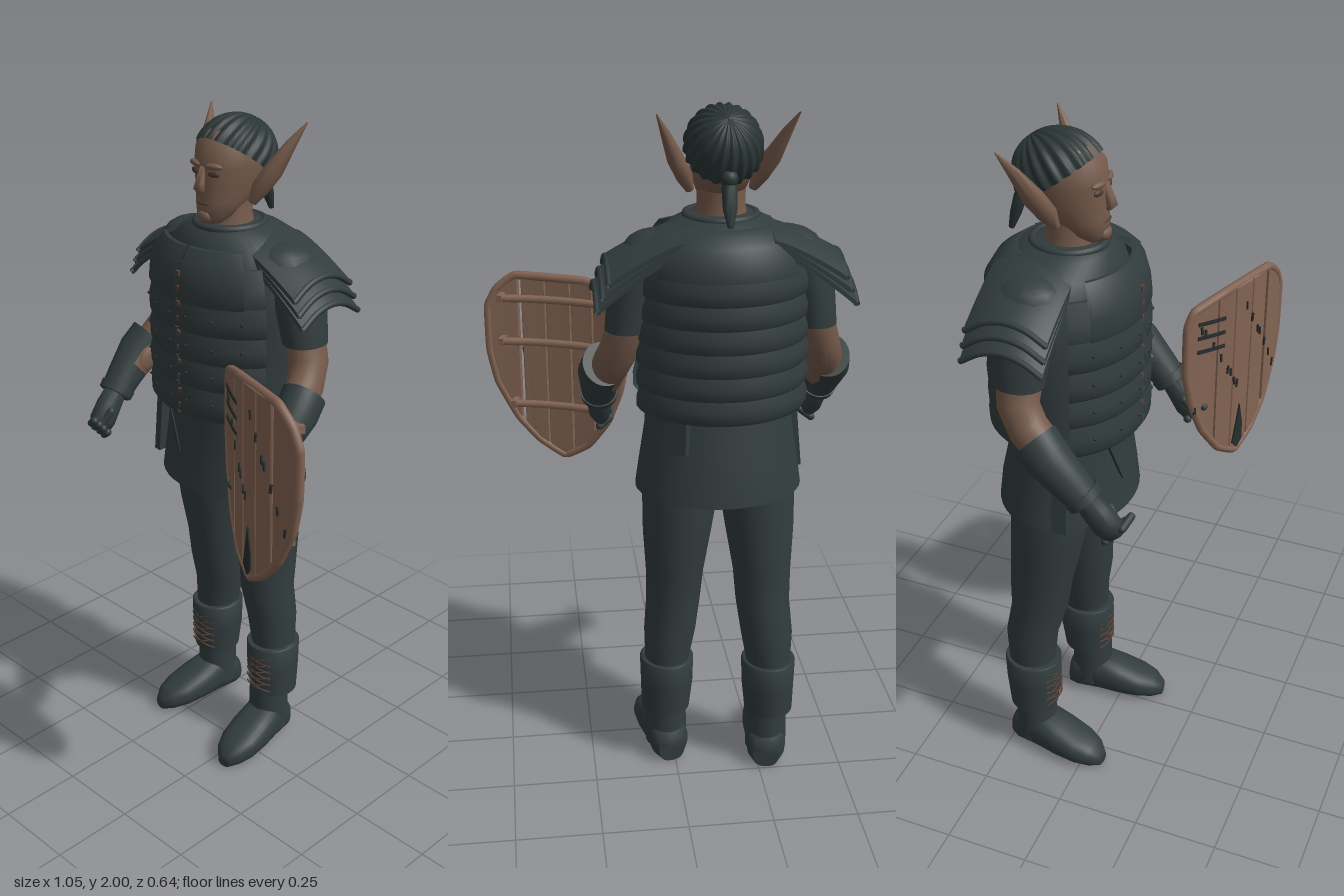
import * as THREE from 'three';
import { toCreasedNormals } from 'three/addons/utils/BufferGeometryUtils.js';

const material = (name, color, side = THREE.FrontSide) => {
  const m = new THREE.MeshStandardMaterial({ color, side });
  m.name = name;
  return m;
};

export function createModel() {
  const root = new THREE.Group();
  root.name = 'warrior';
  const body = new THREE.Group();
  body.name = 'body';
  body.position.x = -0.13;
  root.add(body);

  const slate = material('slate', 0x323c3d, THREE.DoubleSide);
  const hairMat = material('darkHair', 0x2a3534, THREE.DoubleSide);
  const skin = material('skin', 0x755a4b);
  const shade = material('skinShade', 0x4e3a32);
  const wood = material('wood', 0x836453);
  const dark = material('darkMark', 0x262c2c);
  const leather = material('leather', 0x574237);

  const add = (parent, name, geo, mat, x = 0, y = 0, z = 0) => {
    const m = new THREE.Mesh(geo, mat);
    m.name = name;
    m.position.set(x, y, z);
    parent.add(m);
    return m;
  };

  // Skin over oval sections [x, y, z, rx, rz]; rings follow the path unless an axis is fixed
  const loft = (secs, { axis = null, e = 1, n = 28, crease = 0.9 } = {}) => {
    const pos = [], idx = [], X = new THREE.Vector3(1, 0, 0);
    const c = secs.map(s => new THREE.Vector3(s[0], s[1], s[2]));
    const pw = v => Math.sign(v) * Math.abs(v) ** e;
    secs.forEach((s, i) => {
      const t = axis ? axis.clone() : c[Math.min(i + 1, c.length - 1)].clone().sub(c[Math.max(i - 1, 0)]).normalize();
      const nor = t.clone().cross(X).normalize(), side = nor.clone().cross(t);
      for (let j = 0; j < n; j++) {
        const a = j / n * Math.PI * 2;
        const p = c[i].clone().addScaledVector(side, s[3] * pw(Math.cos(a))).addScaledVector(nor, s[4] * pw(Math.sin(a)));
        pos.push(p.x, p.y, p.z);
      }
    });
    const last = (secs.length - 1) * n, c0 = secs.length * n;
    pos.push(...c[0].toArray(), ...c[c.length - 1].toArray());
    for (let j = 0; j < n; j++) {
      const k = (j + 1) % n;
      for (let i = 0; i < last; i += n) idx.push(i + j, i + k, i + n + k, i + j, i + n + k, i + n + j);
      idx.push(c0, k, j, c0 + 1, last + j, last + k);
    }
    const g = new THREE.BufferGeometry();
    g.setAttribute('position', new THREE.Float32BufferAttribute(pos, 3));
    g.setIndex(idx);
    return toCreasedNormals(g, crease);
  };
  const DOWN = new THREE.Vector3(0, -1, 0), FRONT = new THREE.Vector3(0, 0, 1);

  // Torso, neck opening and tunic skirt
  add(body, 'torso', loft([
    [0, 1.71, -0.09, 0.09, 0.09], [0, 1.69, -0.1, 0.135, 0.125], [0, 1.65, -0.115, 0.2, 0.165],
    [0, 1.58, -0.12, 0.235, 0.188], [0, 1.45, -0.12, 0.235, 0.185], [0, 1.3, -0.11, 0.215, 0.17],
    [0, 1.14, -0.1, 0.205, 0.155]], { axis: DOWN, n: 40 }), slate);
  add(body, 'skirt', loft([
    [0, 1.2, -0.09, 0.205, 0.158], [0, 1.1, -0.098, 0.212, 0.168], [0, 1.0, -0.103, 0.228, 0.186],
    [0, 0.918, -0.104, 0.24, 0.195]], { axis: DOWN, n: 40 }), slate);
  const ring = (name, y, z, rx, rz, r, mat) => {
    const g = new THREE.TorusGeometry(1, r / rx, 8, 40).rotateX(Math.PI / 2).scale(rx, rx, rz);
    return add(body, name, g, mat, 0, y, z);
  };
  ring('collar', 1.703, -0.09, 0.096, 0.098, 0.011, slate);
  ring('belt', 1.165, -0.093, 0.205, 0.16, 0.01, slate);
  add(body, 'skirtFold', new THREE.BoxGeometry(0.004, 0.17, 0.006), dark, -0.08, 1.09, 0.067).rotation.set(-0.12, 0, 0.4);
  add(body, 'hipPouch', new THREE.BoxGeometry(0.06, 0.1, 0.05), slate, 0.13, 1.12, -0.235).rotation.y = -0.5;
  add(body, 'hipKnife', new THREE.BoxGeometry(0.022, 0.2, 0.045), slate, -0.235, 1.03, -0.03).rotation.z = -0.1;

  // Curved armour plates: profile [radius factor, y], swept over part of an oval
  const plate = (name, prof, from, sweep, rx, rz, z) => {
    const th = 0.05;
    const pts = [...prof, ...prof.slice().reverse().map(([r, y]) => [r - th, y]), prof[0]];
    const g = new THREE.LatheGeometry(pts.map(p => new THREE.Vector2(...p)), 24, from, sweep).scale(rx, 1, rz);
    add(body, name, toCreasedNormals(g, 0.8), slate, 0, 0, z);
  };
  const bandProfile = (y0, y1) => [[0.98, y0 - 0.008], [1.02, y0 + 0.006], [1.025, (y0 + y1) / 2], [0.985, y1]];
  const frontY = [1.18, 1.27, 1.35, 1.435, 1.52];
  const rivet = new THREE.SphereGeometry(0.005, 8, 6);
  for (const s of [1, -1]) {
    const span = sweep => [s > 0 ? 0.03 : -0.03 - sweep, sweep];
    for (let i = 0; i < 4; i++) {
      plate('chestBand', bandProfile(frontY[i], frontY[i + 1]), ...span(1.06), 0.258, 0.217, -0.1);
      for (const a of [0.12, 0.45, 0.8]) add(body, 'rivet', rivet, dark, s * 0.264 * Math.sin(a),
        (frontY[i] + frontY[i + 1]) / 2, -0.1 + 0.222 * Math.cos(a));
    }
    plate('chestPlate', [[0.985, 1.51], [1.02, 1.53], [1.0, 1.58], [0.94, 1.63], [0.82, 1.665]], ...span(0.8), 0.258, 0.217, -0.1);
    plate('chestSide', [[0.98, 1.51], [1.0, 1.53], [0.96, 1.57], [0.88, 1.62]], ...span(1.06), 0.258, 0.217, -0.1);
  }
  for (let i = 0; i < 10; i++) add(body, 'chestBuckle', new THREE.BoxGeometry(0.014, 0.014, 0.01), leather, 0, 1.2 + i * 0.044, 0.113);
  for (let i = 0; i < 6; i++) plate('backBand', bandProfile(1.18 + i * 0.066, 1.248 + i * 0.066), Math.PI - 1.3, 2.6, 0.243, 0.212, -0.103);
  plate('backYoke', [[1, 1.57], [0.99, 1.61], [0.86, 1.655], [0.62, 1.69]], Math.PI - 0.9, 1.8, 0.243, 0.212, -0.103);

  // Head, face and hair
  add(body, 'neck', loft([[0, 1.8, -0.09, 0.066, 0.068], [0, 1.73, -0.085, 0.066, 0.066], [0, 1.67, -0.085, 0.08, 0.078]], { axis: DOWN }), skin);
  add(body, 'head', loft([
    [0, 1.985, -0.11, 0.03, 0.04], [0, 1.962, -0.11, 0.068, 0.088], [0, 1.92, -0.105, 0.092, 0.116],
    [0, 1.87, -0.1, 0.092, 0.118], [0, 1.82, -0.095, 0.084, 0.112], [0, 1.775, -0.07, 0.07, 0.09],
    [0, 1.735, -0.04, 0.052, 0.06], [0, 1.715, -0.026, 0.03, 0.032]], { axis: DOWN, crease: 1.5 }), skin);
  add(body, 'nose', loft([[0, 1.875, 0.012, 0.009, 0.008], [0, 1.835, 0.024, 0.013, 0.014],
    [0, 1.815, 0.03, 0.018, 0.013], [0, 1.803, 0.022, 0.012, 0.008]], { axis: DOWN, n: 12, crease: 1.5 }), skin);
  const blob = (name, mat, x, y, z, a, b, c) => add(body, name, new THREE.SphereGeometry(1, 14, 10).scale(a, b, c), mat, x, y, z);
  blob('mouth', shade, 0, 1.773, 0.016, 0.025, 0.004, 0.007);
  blob('chin', skin, 0, 1.736, 0.01, 0.026, 0.02, 0.016);
  for (const s of [1, -1]) {
    blob('eye', shade, s * 0.036, 1.857, 0.008, 0.018, 0.009, 0.006).rotation.y = s * 0.3;
    blob('brow', skin, s * 0.036, 1.878, 0.008, 0.026, 0.009, 0.01).rotation.y = s * 0.3;
    add(body, 'ear', loft([
      [s * 0.085, 1.77, -0.09, 0.012, 0.012], [s * 0.102, 1.81, -0.105, 0.023, 0.028], [s * 0.128, 1.86, -0.13, 0.023, 0.031],
      [s * 0.158, 1.93, -0.165, 0.013, 0.018], [s * 0.185, 1.988, -0.2, 0.002, 0.002]], { n: 14 }), skin);
  }
  // Combed hair: meridian ridges on a tilted cap
  const hair = new THREE.SphereGeometry(1, 160, 20, 0, Math.PI * 2, 0, 1.68);
  const hp = hair.attributes.position;
  for (let i = 0; i < hp.count; i++) {
    const x = hp.getX(i), y = hp.getY(i), z = hp.getZ(i);
    const k = 1 + 0.035 * Math.cos(20 * Math.atan2(z, x) + 3 * y) * Math.hypot(x, z);
    hp.setXYZ(i, x * k, y * k, z * k);
  }
  hair.rotateX(-0.68).scale(0.104, 0.112, 0.126);
  hair.computeVertexNormals();
  add(body, 'hair', hair, hairMat, 0, 1.885, -0.112);
  blob('hairKnot', hairMat, 0, 1.825, -0.222, 0.024, 0.024, 0.022);
  add(body, 'ponytail', loft([[0, 1.835, -0.215, 0.012, 0.012], [0, 1.8, -0.227, 0.021, 0.018],
    [0, 1.75, -0.243, 0.019, 0.015], [0, 1.705, -0.258, 0.008, 0.008]], { n: 12 }), hairMat);

  for (const s of [1, -1]) {
    // Layered shoulder guards, arched over the arm
    for (let i = 0; i < 3; i++) {
      const g = new THREE.BoxGeometry(1, 0.014, 0.23, 8, 1, 14), p = g.attributes.position;
      const x0 = 0.12, x1 = 0.315 + 0.016 * i, y0 = 1.685 - 0.012 * i, y1 = 1.602 - 0.036 * i;
      for (let k = 0; k < p.count; k++) {
        const t = p.getX(k) + 0.5, z = p.getZ(k) / 0.115;
        p.setXYZ(k, x0 + (x1 - x0) * t,
          y0 + (y1 - y0) * t ** 1.35 + p.getY(k) - 0.045 * z * z * (0.6 + 0.4 * t), p.getZ(k));
      }
      if (s < 0) g.rotateY(Math.PI);
      add(body, 'shoulderGuard', toCreasedNormals(g, 0.8), slate, 0, 0, -0.132);
      const edge = [-1, -0.5, 0, 0.5, 1].map(z => new THREE.Vector3(s * x1, y1 - 0.045 * z * z, z * 0.115));
      add(body, 'shoulderEdge', new THREE.TubeGeometry(new THREE.CatmullRomCurve3(edge), 16, 0.009, 8), slate, 0, 0, -0.132);
    }
    blob('shoulderDome', slate, s * 0.175, 1.61, -0.12, 0.1, 0.065, 0.1);

    // Arm, bracer and gloved fist
    add(body, 'sleeve', loft([[s * 0.225, 1.59, -0.12, 0.065, 0.078], [s * 0.245, 1.5, -0.122, 0.068, 0.08],
      [s * 0.262, 1.4, -0.125, 0.06, 0.07]], { axis: DOWN }), slate);
    add(body, 'arm', loft([[s * 0.258, 1.42, -0.125, 0.056, 0.064], [s * 0.28, 1.345, -0.122, 0.054, 0.058],
      [s * 0.3, 1.29, -0.085, 0.052, 0.058], [s * 0.32, 1.2, 0.015, 0.05, 0.05]], { crease: 1.5 }), skin);
    blob('innerForearm', skin, s * 0.283, 1.235, -0.02, 0.022, 0.065, 0.038).rotation.x = -0.78;
    add(body, 'bracer', loft([[s * 0.32, 1.275, -0.06, 0.062, 0.068], [s * 0.331, 1.235, -0.018, 0.062, 0.064],
      [s * 0.33, 1.17, 0.045, 0.053, 0.053], [s * 0.327, 1.125, 0.088, 0.048, 0.046]]), slate);
    add(body, 'bracerCuff', loft([[s * 0.328, 1.145, 0.07, 0.055, 0.053], [s * 0.327, 1.127, 0.086, 0.053, 0.051]]), slate);
    add(body, 'hand', loft([[s * 0.327, 1.13, 0.085, 0.034, 0.034], [s * 0.325, 1.095, 0.115, 0.036, 0.04],
      [s * 0.322, 1.055, 0.145, 0.034, 0.044], [s * 0.318, 1.025, 0.16, 0.022, 0.03]], { crease: 1.5 }), slate);
    for (let i = 0; i < 4; i++) {
      const f = add(body, 'finger', new THREE.CapsuleGeometry(0.012, 0.04, 4, 10), slate, s * 0.308, 1.015 + i * 0.018, 0.145 + i * 0.016);
      f.rotation.set(0.5, 0, s * 0.9);
    }
    add(body, 'thumb', new THREE.CapsuleGeometry(0.012, 0.045, 4, 10), slate, s * 0.295, 1.075, 0.15).rotation.set(-0.6, 0, s * 0.3);

    // Leg, with the left one stepping slightly forward
    const step = y => s > 0 ? 0.05 * Math.min(1, Math.max(0, (0.85 - y) / 0.4)) : 0;
    const leg = secs => loft(secs.map(([x, y, z, a, b]) => [s * x, y, z + step(y), a, b]), { axis: DOWN });
    add(body, 'leg', leg([
      [0.105, 1.0, -0.115, 0.105, 0.115], [0.112, 0.9, -0.118, 0.11, 0.115], [0.121, 0.78, -0.13, 0.1, 0.106],
      [0.128, 0.65, -0.148, 0.085, 0.094], [0.132, 0.55, -0.155, 0.08, 0.086], [0.143, 0.45, -0.178, 0.077, 0.079],
      [0.153, 0.33, -0.178, 0.064, 0.07], [0.158, 0.2, -0.175, 0.055, 0.06]]), slate);
    add(body, 'bootCuff', leg([[0.152, 0.355, -0.175, 0.077, 0.084], [0.152, 0.35, -0.175, 0.081, 0.087],
      [0.152, 0.27, -0.175, 0.079, 0.085], [0.156, 0.178, -0.175, 0.073, 0.074]]), slate);
    // Crossed lacing on the cuff front
    for (let i = 0; i < 5; i++) for (const side of [1, -1]) {
      const path = [-0.7, -0.2, 0.3, 0.7].map(a => new THREE.Vector3(s * 0.153 + 0.079 * Math.sin(a),
        0.215 + i * 0.024 + side * a * 0.022, -0.175 + step(0) + 0.085 * Math.cos(a)));
      add(body, 'bootLace', new THREE.TubeGeometry(new THREE.CatmullRomCurve3(path), 10, 0.0025, 5), leather);
    }
    // Boot, toes turned out
    const boot = new THREE.Group();
    boot.name = 'boot';
    boot.position.set(s * 0.152, 0, s > 0 ? -0.107 : -0.172);
    boot.rotation.y = s * 0.14;
    body.add(boot);
    add(boot, 'bootShaft', loft([[0, 0.2, 0, 0.06, 0.062], [0, 0.12, 0, 0.062, 0.064], [0, 0.04, 0, 0.063, 0.066]], { axis: DOWN }), slate);
    add(boot, 'bootFoot', loft([
      [0, 0.045, -0.072, 0.04, 0.045], [0, 0.06, -0.045, 0.058, 0.06], [0, 0.068, 0.03, 0.063, 0.068],
      [0, 0.055, 0.1, 0.068, 0.055], [0, 0.043, 0.165, 0.064, 0.043], [0, 0.034, 0.21, 0.048, 0.034],
      [0, 0.022, 0.24, 0.022, 0.02]], { axis: FRONT, e: 0.8 }), slate);
  }

  // Curved plank shield on the left hand
  const shield = new THREE.Group();
  shield.name = 'shield';
  shield.position.set(0.315, 0, 0.226);
  shield.rotation.y = -0.358;
  root.add(shield);
  const top = [[-0.213, 1.355], [-0.19, 1.405], [-0.082, 1.432], [0.127, 1.437], [0.185, 1.395], [0.213, 1.34]];
  const low = [[-0.213, 1.205], [-0.192, 1.1], [-0.15, 0.995], [-0.085, 0.908], [-0.01, 0.865], [0.07, 0.912], [0.135, 0.985], [0.192, 1.1], [0.213, 1.205]];
  const at = (line, u) => {
    const i = Math.max(1, line.findIndex(p => p[0] >= u)), [a, b] = [line[i - 1], line[i]];
    return a[1] + (b[1] - a[1]) * (u - a[0]) / (b[0] - a[0]);
  };
  const bow = u => 0.032 * (1 - (u / 0.222) ** 2);
  const bend = g => {
    const p = g.attributes.position;
    for (let i = 0; i < p.count; i++) p.setZ(i, p.getZ(i) + bow(p.getX(i)));
    return toCreasedNormals(g, 0.6);
  };
  for (const [a, b] of [[-0.212, -0.114], [-0.107, -0.044], [-0.037, 0.034], [0.041, 0.109], [0.123, 0.212]]) {
    const us = Array.from({ length: 7 }, (_, i) => a + (b - a) * i / 6);
    const outline = [...us.map(u => [u, at(low, u)]), ...us.reverse().map(u => [u, at(top, u)])];
    const shape = new THREE.Shape(outline.map(p => new THREE.Vector2(...p)));
    add(shield, 'plank', bend(new THREE.ExtrudeGeometry(shape, { depth: 0.01, bevelSize: 0.003, bevelThickness: 0.004, bevelSegments: 1 })), wood);
  }
  const rim = [...low, ...top.slice().reverse()].map(([u, y]) => new THREE.Vector3(u, y, bow(u) + 0.005));
  add(shield, 'rim', new THREE.TubeGeometry(new THREE.CatmullRomCurve3(rim, true, 'catmullrom', 0.15), 160, 0.013, 8, true), wood);
  // Cross bars behind the planks
  for (const [y, a, b] of [[1.375, -0.145, 0.165], [1.24, -0.15, 0.165], [1.04, -0.12, 0.135]]) {
    const path = [0, 0.25, 0.5, 0.75, 1].map(t => a + (b - a) * t).map(u => new THREE.Vector3(u, y, bow(u) - 0.03));
    add(shield, 'crossBar', new THREE.TubeGeometry(new THREE.CatmullRomCurve3(path), 20, 0.012, 8), wood);
    for (const u of [a, b]) add(shield, 'barEnd', new THREE.BoxGeometry(0.016, 0.022, 0.042), wood, u, y, bow(u) - 0.02);
  }
  // Scratches, chips and the dark tip
  const mark = (u, y, w, h, tilt = 0) => add(shield, 'scratch',
    bend(new THREE.BoxGeometry(w, h, 0.006, 6, 1, 1).rotateZ(tilt).translate(u, y, 0.015)), dark);
  for (let i = 0; i < 3; i++) mark(-0.135, 1.36 - i * 0.045, 0.1, 0.011, -0.1);
  for (let i = 0; i < 16; i++) mark(-0.19 + (i * 0.137) % 0.38, 1.08 + (i * 0.083) % 0.3, 0.006, 0.026, 0.15 * Math.sin(i));
  const tip = new THREE.Shape([[-0.032, 0.9], [-0.008, 0.875], [0.014, 0.9], [0.012, 0.96], [-0.004, 1.03], [-0.018, 0.96]].map(p => new THREE.Vector2(...p)));
  add(shield, 'tipMark', bend(new THREE.ExtrudeGeometry(tip, { depth: 0.006, bevelEnabled: false }).translate(0, 0, 0.012)), dark);
  return root;
}
